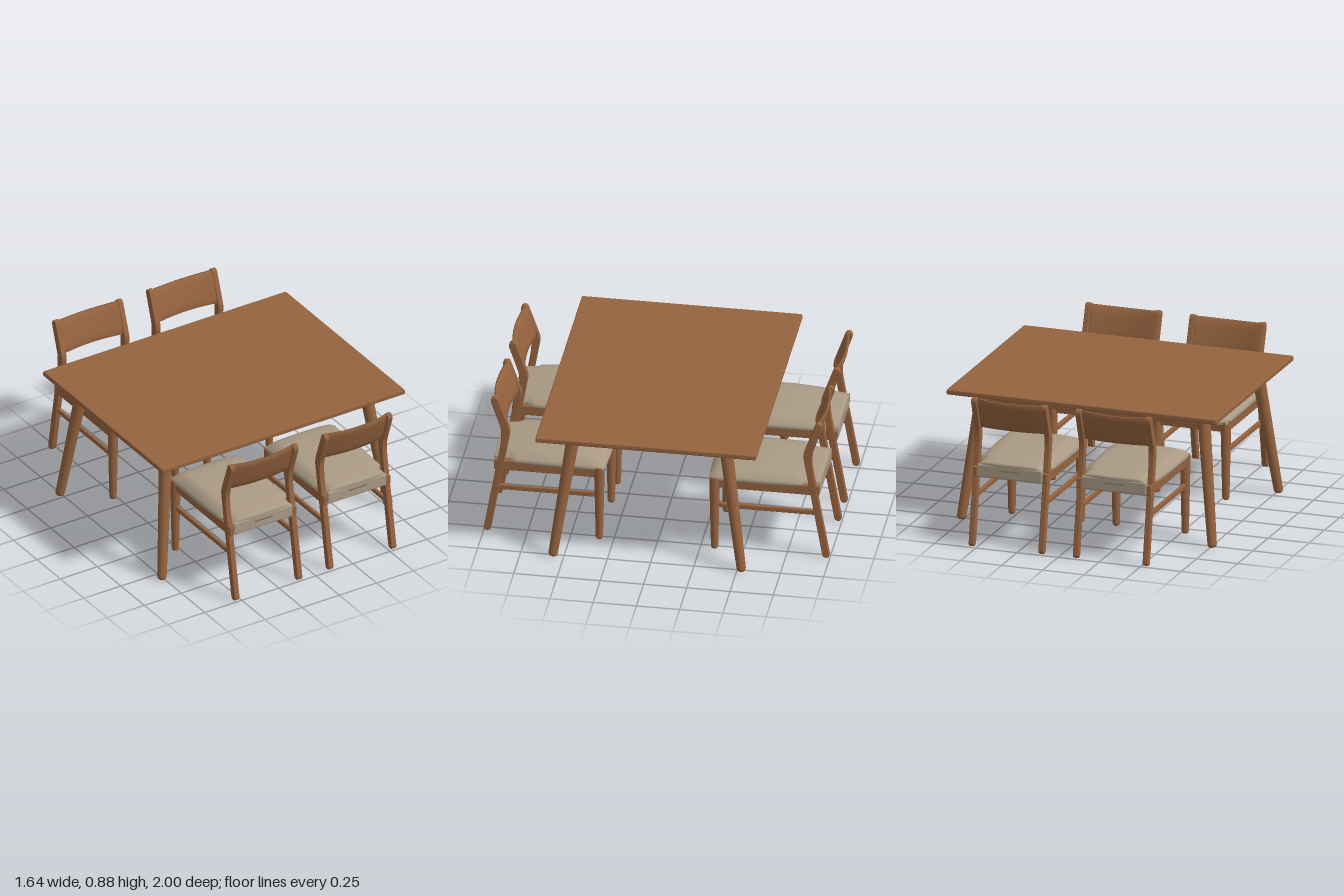
import * as THREE from 'three';
import { mergeVertices } from 'three/addons/utils/BufferGeometryUtils.js';
import { RoundedBoxGeometry } from 'three/addons/geometries/RoundedBoxGeometry.js';

const wood = new THREE.MeshStandardMaterial({ color: 0x95633f });
wood.name = 'wood';
const fabric = new THREE.MeshStandardMaterial({ color: 0xaa9a84 });
fabric.name = 'fabric';

const V = (x, y, z) => new THREE.Vector3(x, y, z);

function add(group, name, geometry, material, x = 0, y = 0, z = 0) {
  const mesh = new THREE.Mesh(geometry, material);
  mesh.name = name;
  mesh.position.set(x, y, z);
  group.add(mesh);
  return mesh;
}

// Rounded bar given by its limits on each axis
function bar(group, name, material, x0, x1, y0, y1, z0, z1, r = 0.005) {
  return add(group, name, new RoundedBoxGeometry(x1 - x0, y1 - y0, z1 - z0, 2, r), material,
    (x0 + x1) / 2, (y0 + y1) / 2, (z0 + z1) / 2);
}

// Round tapered leg with a softened foot, running from foot to head
function roundLeg(group, name, foot, head, rFoot, rHead) {
  const length = foot.distanceTo(head);
  const profile = [[0, 0], [rFoot * 0.6, 0], [rFoot * 0.9, rFoot * 0.25], [rFoot, rFoot * 0.7],
    [rHead, length - 0.008], [rHead - 0.006, length], [0, length]].map(p => new THREE.Vector2(...p));
  const leg = add(group, name, new THREE.LatheGeometry(profile, 24), wood, foot.x, foot.y, foot.z);
  leg.quaternion.setFromUnitVectors(V(0, 1, 0), head.clone().sub(foot).normalize());
}

// Box whose vertices are moved by a rule, with smooth normals
function bentBox(size, segments, rule) {
  let g = new THREE.BoxGeometry(...size, ...segments);
  g.deleteAttribute('normal');
  g.deleteAttribute('uv');
  g = mergeVertices(g);
  const p = g.attributes.position;
  const v = V(0, 0, 0);
  for (let i = 0; i < p.count; i++) {
    rule(v.fromBufferAttribute(p, i));
    p.setXYZ(i, v.x, v.y, v.z);
  }
  g.computeVertexNormals();
  return g;
}

// Side outline of the rear leg and back post, extruded across x
function postGeometry() {
  const s = new THREE.Shape();
  s.moveTo(0.962, 0.012);
  s.quadraticCurveTo(0.982, 0, 0.994, 0.012);
  s.quadraticCurveTo(1.0, 0.018, 0.998, 0.03);
  s.lineTo(0.905, 0.56);
  s.quadraticCurveTo(0.892, 0.64, 0.903, 0.69);
  s.lineTo(0.957, 0.85);
  s.quadraticCurveTo(0.962, 0.882, 0.935, 0.884);
  s.quadraticCurveTo(0.92, 0.884, 0.914, 0.865);
  s.lineTo(0.852, 0.69);
  s.quadraticCurveTo(0.846, 0.66, 0.852, 0.63);
  s.lineTo(0.957, 0.025);
  s.closePath();
  const bevel = 0.005;
  const g = new THREE.ExtrudeGeometry(s, {
    depth: 0.024, bevelEnabled: true, bevelSize: bevel, bevelOffset: -bevel,
    bevelThickness: bevel, bevelSegments: 2, curveSegments: 6,
  });
  g.translate(0, 0, -0.012);
  return g.rotateY(-Math.PI / 2);
}

// Padded seat: domed top, dropping toward the knees, narrower between the posts
function cushionGeometry() {
  return bentBox([2, 2, 2], [16, 4, 24], v => {
    const u = v.x, w = v.z;
    const z = 0.62 + 0.325 * w;
    const edge = Math.pow(1 - Math.pow(Math.abs(u), 6), 0.5);
    const lip = Math.pow(Math.max(0, 1 - Math.pow(Math.max(0, -w), 5)), 0.6);
    const top = 0.476 + 0.054 * (0.25 + 0.75 * edge) * lip * (1 - 0.45 * Math.pow(Math.max(0, w), 1.5));
    const half = z > 0.86 ? 0.2 : 0.233 - 0.012 * Math.max(0, w);
    const bulge = 1 - 0.03 * v.y * v.y;
    v.set(u * half * bulge, THREE.MathUtils.lerp(0.455, top, (v.y + 1) / 2), z - 0.01 * u * u * w);
  });
}

// Curved back panel, leaning with the posts
function backrestGeometry() {
  return bentBox([0.41, 0.185, 0.026], [16, 6, 2], v => {
    const t = v.x / 0.205;
    const h = v.y / 0.0925;
    const bow = 1 - t * t;
    v.y += 0.785 - (h > 0 ? 0.008 * bow * h : 0);
    v.z = v.z * (1 - 0.4 * Math.pow(Math.abs(h), 8)) + 0.902 + 0.029 * h + 0.022 * bow;
  });
}

function makeChair() {
  const chair = new THREE.Group();
  const post = postGeometry();
  for (const s of [-1, 1]) {
    add(chair, 'backPost', post, wood, s * 0.212);
    roundLeg(chair, 'chairFrontLeg', V(s * 0.21, 0.005, 0.333), V(s * 0.21, 0.478, 0.333), 0.021, 0.031);
    const x = s * 0.212;
    bar(chair, 'seatSideRail', wood, x - 0.013, x + 0.013, 0.41, 0.47, 0.32, 0.94);
    bar(chair, 'sideStretcher', wood, x - 0.01, x + 0.01, 0.279, 0.309, 0.34, 0.93);
  }
  bar(chair, 'seatFrontRail', wood, -0.205, 0.205, 0.41, 0.468, 0.32, 0.345);
  bar(chair, 'seatRearPanel', fabric, -0.198, 0.198, 0.41, 0.488, 0.915, 0.944, 0.01);
  add(chair, 'seatCushion', cushionGeometry(), fabric);
  add(chair, 'backrest', backrestGeometry(), wood);
  return chair;
}

function makeTable() {
  const table = new THREE.Group();
  table.name = 'table';
  table.position.z = 0.018;
  bar(table, 'tableTop', wood, -0.82, 0.82, 0.77, 0.802, -0.638, 0.638, 0.008);
  for (const s of [-1, 1]) {
    for (const f of [-1, 1]) {
      roundLeg(table, 'tableLeg', V(s * 0.764, 0.005, f * 0.546), V(s * 0.67, 0.772, f * 0.438), 0.027, 0.038);
    }
    bar(table, 'longApron', wood, -0.67, 0.67, 0.69, 0.772, s * 0.44 - 0.013, s * 0.44 + 0.013);
    bar(table, 'endApron', wood, s * 0.668 - 0.013, s * 0.668 + 0.013, 0.69, 0.772, -0.44, 0.44);
  }
  return table;
}

export function createModel() {
  const model = new THREE.Group();
  model.name = 'diningSet';
  model.add(makeTable());
  // Two chairs on each long side, facing the table
  for (const side of [1, -1]) {
    for (const s of [-1, 1]) {
      const chair = makeChair();
      chair.name = (side > 0 ? 'front' : 'rear') + (s > 0 ? 'Left' : 'Right') + 'Chair';
      chair.position.x = s * 0.317;
      if (side < 0) chair.rotation.y = Math.PI;
      model.add(chair);
    }
  }
  return model;
}
